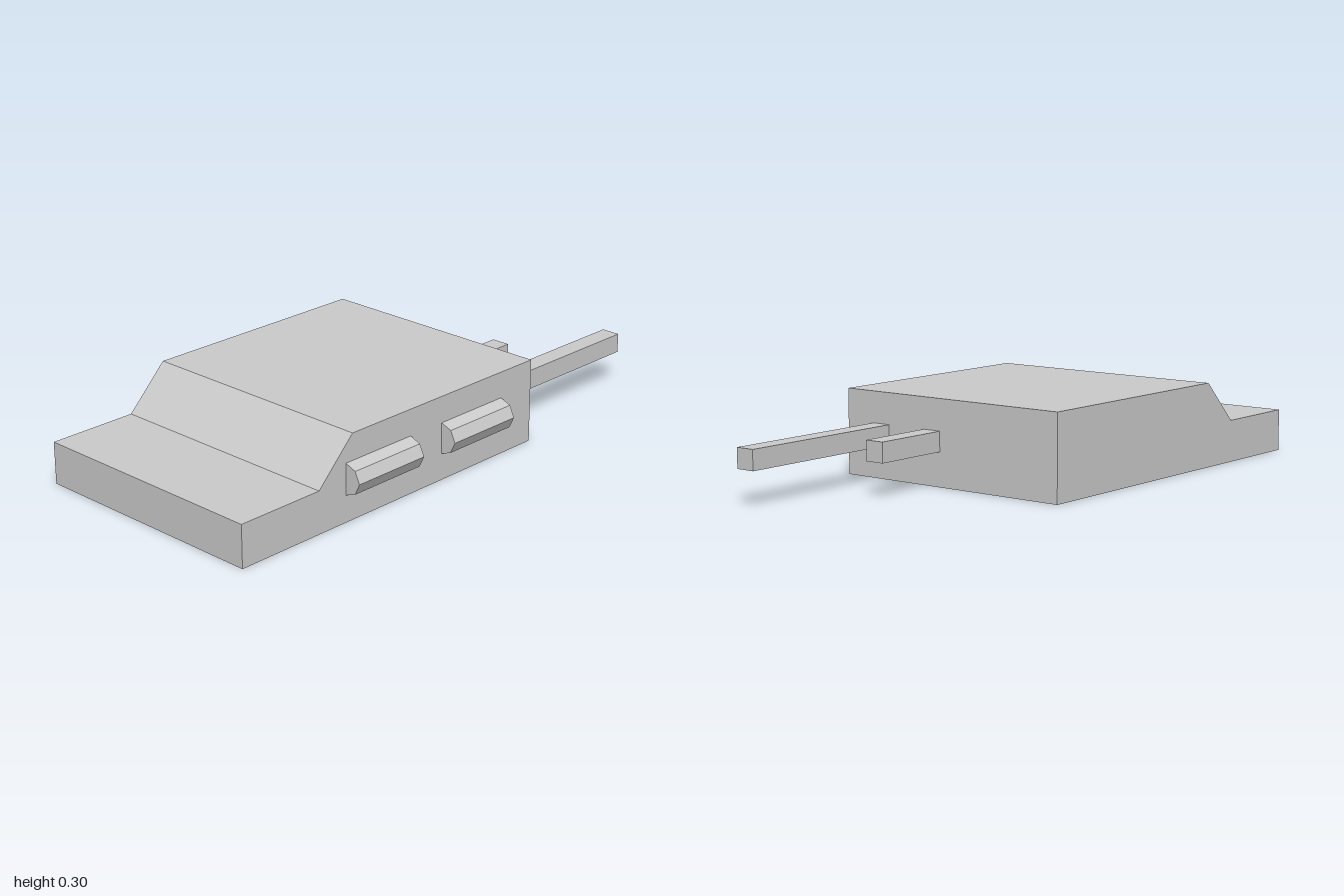
import * as THREE from 'three';

const material = new THREE.MeshStandardMaterial({ color: 0xcccccc, flatShading: true });

function addMesh(group, name, geometry) {
  const mesh = new THREE.Mesh(geometry, material);
  mesh.name = name;
  group.add(mesh);
  return mesh;
}

function extrude(points, depth) {
  const shape = new THREE.Shape(points.map(([x, y]) => new THREE.Vector2(x, y)));
  return new THREE.ExtrudeGeometry(shape, { depth, bevelEnabled: false });
}

export function createModel() {
  const model = new THREE.Group();
  model.name = 'steppedDevice';

  // Body: side profile as [-z, y], extruded across the width
  const profile = [[-1, 0], [0.355, 0], [0.355, 0.3], [-0.52, 0.3], [-0.67, 0.15], [-1, 0.15]];
  const body = extrude(profile, 0.9);
  body.rotateY(Math.PI / 2);
  body.translate(-0.48, 0, 0);
  addMesh(model, 'body', body);

  // Two faceted buttons on the left side
  const section = [[0.42, 0.095], [0.46, 0.11], [0.479, 0.15], [0.46, 0.19], [0.42, 0.206]];
  [['frontSideButton', 0.25], ['rearSideButton', -0.2]].forEach(([name, z]) => {
    addMesh(model, name, extrude(section, 0.3)).position.z = z;
  });

  // Square prongs out of the back
  [['shortProng', 0.045, 0.285], ['longProng', 0.27, 0.645]].forEach(([name, x, length]) => {
    const prong = addMesh(model, name, new THREE.BoxGeometry(0.07, 0.07, length));
    prong.position.set(x, 0.155, -0.355 - length / 2);
  });

  return model;
}
